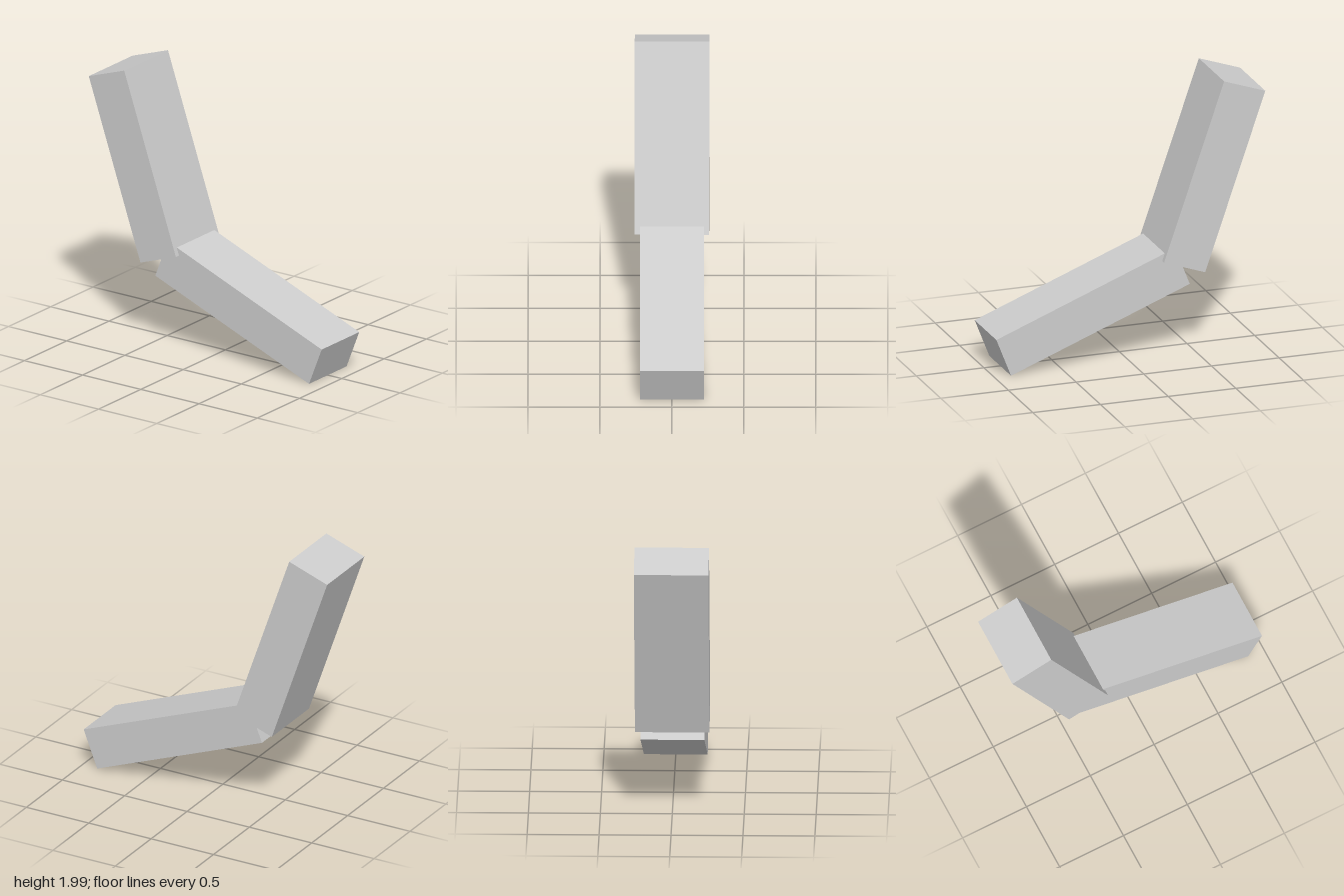
import * as THREE from 'three';

const grey = new THREE.MeshStandardMaterial({ color: 0xcccccc });
grey.name = 'light grey';

// A box centred on x = 0 and tilted about the x axis
function slab(name, size, y, z, tilt) {
  const mesh = new THREE.Mesh(new THREE.BoxGeometry(...size), grey);
  mesh.name = name;
  mesh.position.set(0, y, z);
  mesh.rotation.x = tilt;
  return mesh;
}

export function createModel() {
  const group = new THREE.Group();
  group.name = 'bentLimb';
  // Lower segment slopes down to the front
  group.add(slab('lowerSegment', [0.444, 0.297, 1.419], 0.403, 0.274, 0.375));
  // Upper segment leans to the back
  group.add(slab('upperSegment', [0.518, 1.358, 0.322], 1.305, -0.611, -0.333));
  return group;
}
